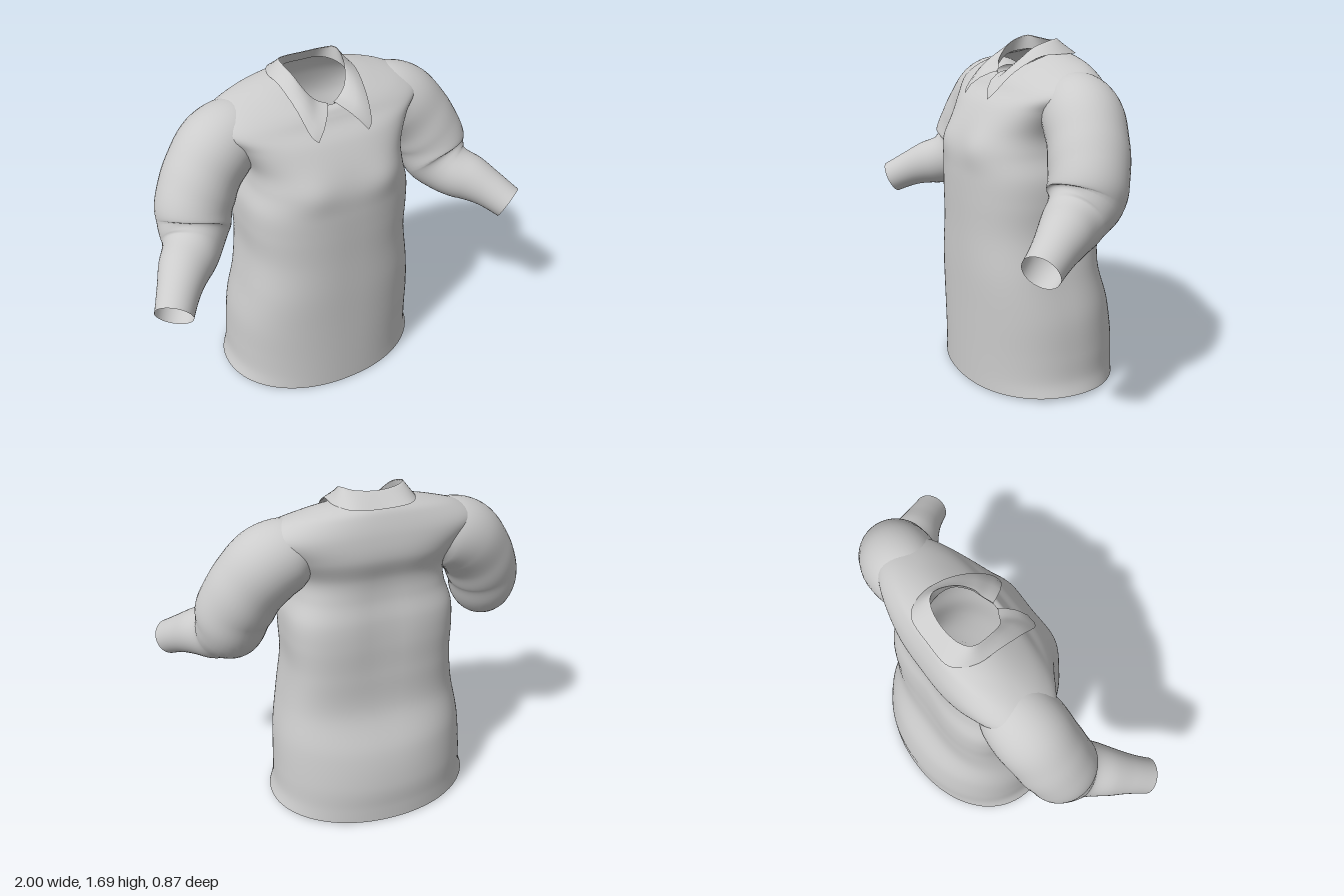
import * as THREE from 'three';

const material = new THREE.MeshStandardMaterial({ color: 0xcccccc, side: THREE.DoubleSide });

// Smooth (Catmull-Rom) reading of a table of number rows, t from 0 to 1
function sample(table, t) {
  const last = table.length - 1;
  const i = Math.min(Math.floor(t * last), last - 1);
  const f = t * last - i;
  const row = (k) => table[Math.max(0, Math.min(last, k))];
  return table[i].map((b, c) => {
    const a = row(i - 1)[c], d = row(i + 1)[c], e = row(i + 2)[c];
    return b + 0.5 * f * (d - a + f * (2 * a - 5 * b + 4 * d - e + f * (3 * (b - d) + e - a)));
  });
}

// Skin over rows of points; closed rows wrap around without a seam
function skin(name, rows, closed) {
  const n = rows[0].length, index = [];
  for (let r = 0; r < rows.length - 1; r++) {
    for (let c = 0; c < (closed ? n : n - 1); c++) {
      const a = r * n + c, b = r * n + (c + 1) % n;
      index.push(a, a + n, b, b, a + n, b + n);
    }
  }
  const geometry = new THREE.BufferGeometry();
  geometry.setAttribute('position', new THREE.Float32BufferAttribute(rows.flat(2), 3));
  geometry.setIndex(index);
  geometry.computeVertexNormals();
  const mesh = new THREE.Mesh(geometry, material);
  mesh.name = name;
  return mesh;
}

// Body sections: height, half width, front z, back z, front and back squareness, forward tilt, side lift
const BODY = [
  [0.01, 0.54, 0.365, -0.43, 2.15, 2.1, 0, 0.02],
  [0.09, 0.518, 0.365, -0.43, 2.2, 2.15, 0, 0.01],
  [0.22, 0.51, 0.365, -0.43, 2.25, 2.15, 0, 0],
  [0.4, 0.496, 0.365, -0.395, 2.35, 2.3, 0, 0],
  [0.6, 0.456, 0.365, -0.315, 2.5, 2.9, 0, 0],
  [0.8, 0.425, 0.362, -0.302, 2.5, 3.4, 0, 0],
  [0.96, 0.428, 0.362, -0.302, 2.5, 3.4, 0, 0],
  [1.08, 0.422, 0.36, -0.292, 2.5, 3.4, 0, 0],
  [1.19, 0.39, 0.352, -0.268, 2.5, 3.2, 0, 0],
  [1.29, 0.392, 0.315, -0.265, 2.5, 2.8, 0, 0],
  [1.4, 0.46, 0.25, -0.292, 2.6, 2.6, 0, 0],
  [1.485, 0.545, 0.19, -0.28, 2.4, 2.5, 0.02, 0],
  [1.545, 0.46, 0.165, -0.25, 2.2, 2.2, 0.045, 0.008],
  [1.575, 0.3, 0.145, -0.225, 2, 2, 0.05, 0.025],
  [1.585, 0.17, 0.12, -0.2, 2, 2, 0.05, 0.04],
];

function bodyRing(t, scale = 1) {
  const [y, w, zf, zb, nf, nb, tilt, lift] = sample(BODY, t);
  const ring = [];
  for (let i = 0; i < 96; i++) {
    const a = (i / 96) * Math.PI * 2;
    const c = Math.cos(a), s = Math.sin(a);
    const bend = (v) => Math.sign(v) * Math.abs(v) ** (2 / (s > 0 ? nf : nb));
    const x = w * bend(c) * scale;
    let z = (zf + zb) / 2 + ((zf - zb) / 2) * bend(s) * scale;
    // soft chest fullness in front, shallow furrow down the spine
    const side = (Math.abs(x) - 0.2) / 0.11;
    if (s > 0) z += 0.018 * s * Math.exp(-side * side - ((y - 1.22) / 0.09) ** 2);
    else z += 0.012 * Math.exp(-((x / 0.1) ** 2) - ((y - 1.05) / 0.25) ** 2);
    ring.push([x, y - tilt * s + lift * c * c, z]);
  }
  return ring;
}

function body() {
  const rows = [];
  for (let k = 0; k <= 98; k++) rows.push(bodyRing(k / 98));
  return skin('shirtBody', rows, true);
}

// Turned-up layers inside the hem, each lower than the one outside it
function hemLayer(k) {
  const rows = [0, 0.5, 1].map((f) => bodyRing(0.005 + f * (0.14 - 0.03 * k), 1 - 0.01 * k));
  return skin('hemLayer', rows, true);
}

// Sleeve centre line and radius, from inside the shoulder to the cuff
const SLEEVE = [
  [0.29, 1.42, -0.08, 0.12],
  [0.385, 1.41, -0.075, 0.168],
  [0.495, 1.365, -0.06, 0.186],
  [0.583, 1.27, -0.035, 0.183],
  [0.645, 1.16, -0.005, 0.183],
  [0.68, 1.045, 0.035, 0.172],
  [0.717, 0.982, 0.105, 0.142],
  [0.795, 0.945, 0.2, 0.122],
  [0.86, 0.905, 0.285, 0.1],
  [0.925, 0.85, 0.38, 0.088],
];

function sleeve(side) {
  const curve = new THREE.CatmullRomCurve3(SLEEVE.map(([x, y, z]) => new THREE.Vector3(x, y, z)));
  const steps = 64, frames = curve.computeFrenetFrames(steps);
  const rows = [];
  for (let k = 0; k <= steps; k++) {
    const u = k / steps;
    const p = curve.getPointAt(u);
    const r = sample(SLEEVE, curve.getUtoTmapping(u))[3];
    // faint cloth folds, strongest around the elbow
    const fold = 0.02 * Math.exp(-(((u - 0.6) / 0.2) ** 2));
    const ring = [];
    for (let i = 0; i < 40; i++) {
      const a = (i / 40) * Math.PI * 2;
      const q = r * (1 + fold * Math.sin(u * 38 + 2 * Math.sin(a)));
      const v = p.clone()
        .addScaledVector(frames.normals[k], q * Math.cos(a))
        .addScaledVector(frames.binormals[k], q * Math.sin(a));
      ring.push([v.x * side, v.y, v.z]);
    }
    rows.push(ring);
  }
  return skin(side > 0 ? 'leftSleeve' : 'rightSleeve', rows, true);
}

// Half collar from back to front: points on neck seam, fold and leaf edge
const COLLAR = [
  [0, 1.63, -0.19, 0, 1.685, -0.16, 0, 1.622, -0.238],
  [0.1, 1.635, -0.17, 0.1, 1.692, -0.145, 0.14, 1.628, -0.226],
  [0.15, 1.63, -0.09, 0.15, 1.7, -0.1, 0.2, 1.632, -0.13],
  [0.155, 1.61, 0, 0.135, 1.665, 0, 0.2, 1.624, 0],
  [0.12, 1.56, 0.07, 0.1, 1.6, 0.07, 0.182, 1.555, 0.13],
  [0.07, 1.535, 0.1, 0.06, 1.56, 0.095, 0.16, 1.465, 0.22],
  [0.02, 1.525, 0.122, 0.015, 1.545, 0.12, 0.13, 1.43, 0.246],
];

function collar() {
  const mirrored = COLLAR.slice(1).reverse().map((row) => row.map((v, i) => (i % 3 ? v : -v)));
  const table = [...mirrored, ...COLLAR];
  const rows = [];
  for (let k = 0; k <= 72; k++) {
    const s = sample(table, k / 72);
    const seam = s.slice(0, 3), fold = s.slice(3, 6), edge = s.slice(6, 9);
    const mix = (a, b, f) => a.map((v, i) => v + (b[i] - v) * f);
    // the front leaves bow outward over the chest
    const leaf = (f) => {
      const [x, y, z] = mix(fold, edge, f);
      const bow = 0.4 * f * (1 - f) * Math.max(0, edge[2]);
      return [x, y + bow * 0.5, z + bow];
    };
    rows.push([seam, mix(seam, fold, 0.5), mix(seam, fold, 0.9), fold,
      leaf(0.15), leaf(0.4), leaf(0.7), edge]);
  }
  return skin('collar', rows, false);
}

export function createModel() {
  const group = new THREE.Group();
  group.name = 'shirt';
  group.add(body(), sleeve(1), sleeve(-1), collar());
  for (let k = 1; k <= 3; k++) group.add(hemLayer(k));
  return group;
}
